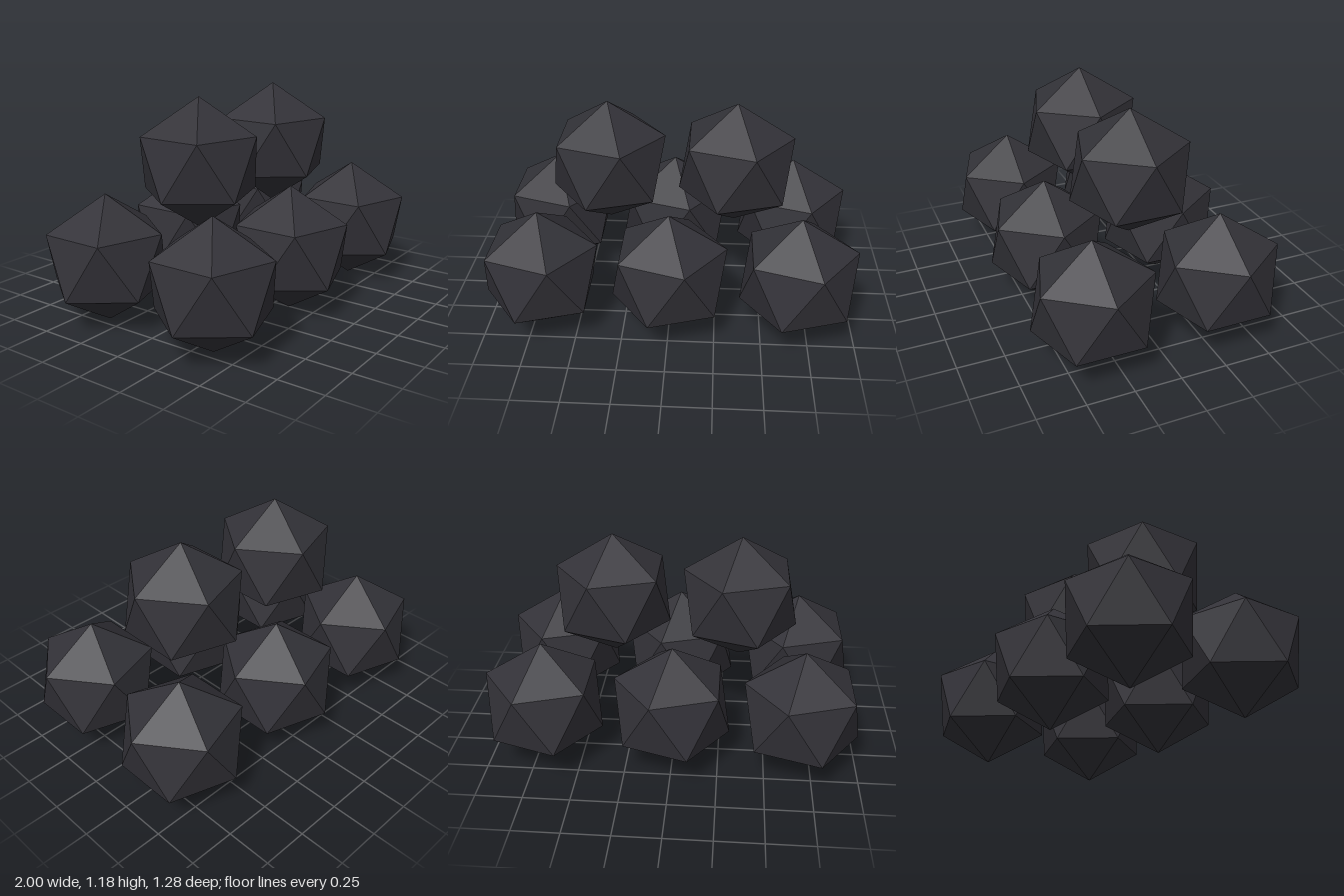
import * as THREE from 'three';

// A stacked pile of faceted stones: six on the ground, two resting on top
export function createModel() {
  const group = new THREE.Group();
  group.name = 'stonePile';

  const charcoal = new THREE.MeshStandardMaterial({ color: 0x333238, flatShading: true });
  charcoal.name = 'charcoal';

  // Icosahedron standing on one corner, with an upper corner pointing to +x
  const R = 0.3455;
  const stone = new THREE.IcosahedronGeometry(R, 0);
  stone.rotateZ(-Math.atan(2 / (1 + Math.sqrt(5))));

  const addStone = (name, x, y, z) => {
    const mesh = new THREE.Mesh(stone, charcoal);
    mesh.name = name;
    mesh.position.set(x, y, z);
    group.add(mesh);
  };

  // Bottom layer: three by two
  for (const z of [-R, R]) {
    for (const x of [-2 * R, 0, 2 * R]) addStone('bottomStone', x, R, z);
  }

  // Top layer: two stones nested in the gaps
  for (const x of [-R, R]) addStone('topStone', x, R * (1 + Math.SQRT2), 0);

  return group;
}
